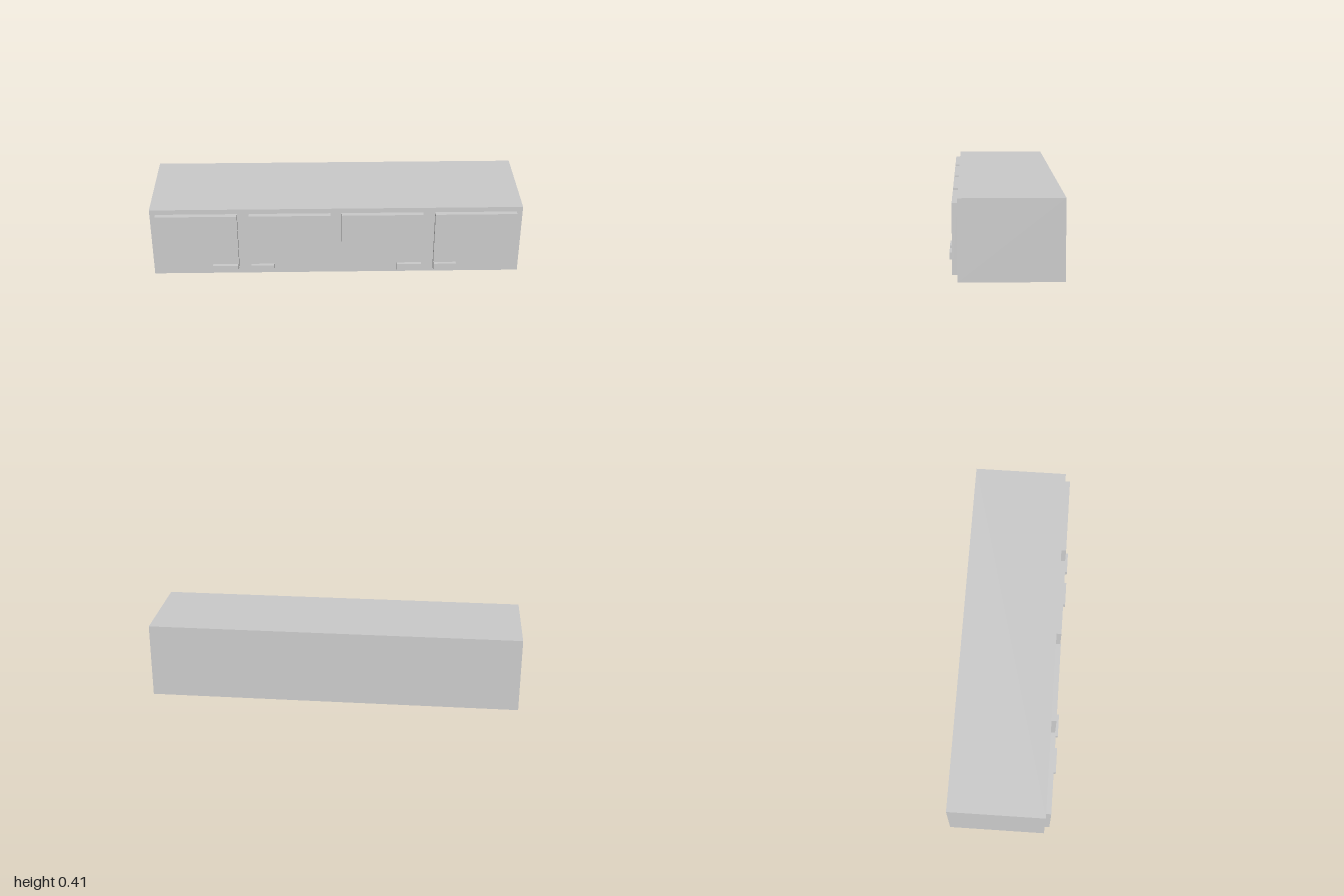
import * as THREE from 'three';

const material = new THREE.MeshStandardMaterial({ color: 0xcccccc, flatShading: true });

// Box given by its extents along each axis
function block(name, [x0, x1], [y0, y1], [z0, z1]) {
  const mesh = new THREE.Mesh(new THREE.BoxGeometry(x1 - x0, y1 - y0, z1 - z0), material);
  mesh.position.set((x0 + x1) / 2, (y0 + y1) / 2, (z0 + z1) / 2);
  mesh.name = name;
  return mesh;
}

export function createModel() {
  const group = new THREE.Group();
  group.name = 'wallCabinet';

  // Carcass
  const front = 0.235, doorFront = 0.262;
  group.add(block('cabinetBody', [-1, 1], [0, 0.406], [-0.28, front]));

  // Four doors, each with a pull at its lower corner beside the paired door
  const doors = [
    { x: [-0.97, -0.533], pull: [-0.674, -0.535] },
    { x: [-0.469, -0.032], pull: [-0.466, -0.341] },
    { x: [0.028, 0.465], pull: [0.327, 0.463] },
    { x: [0.53, 0.968], pull: [0.533, 0.653] },
  ];
  doors.forEach(({ x, pull }, i) => {
    group.add(block(`door${i + 1}`, x, [0.031, 0.378], [front, doorFront]));
    group.add(block(`handle${i + 1}`, pull, [0.04, 0.075], [doorFront, 0.28]));
  });

  return group;
}
